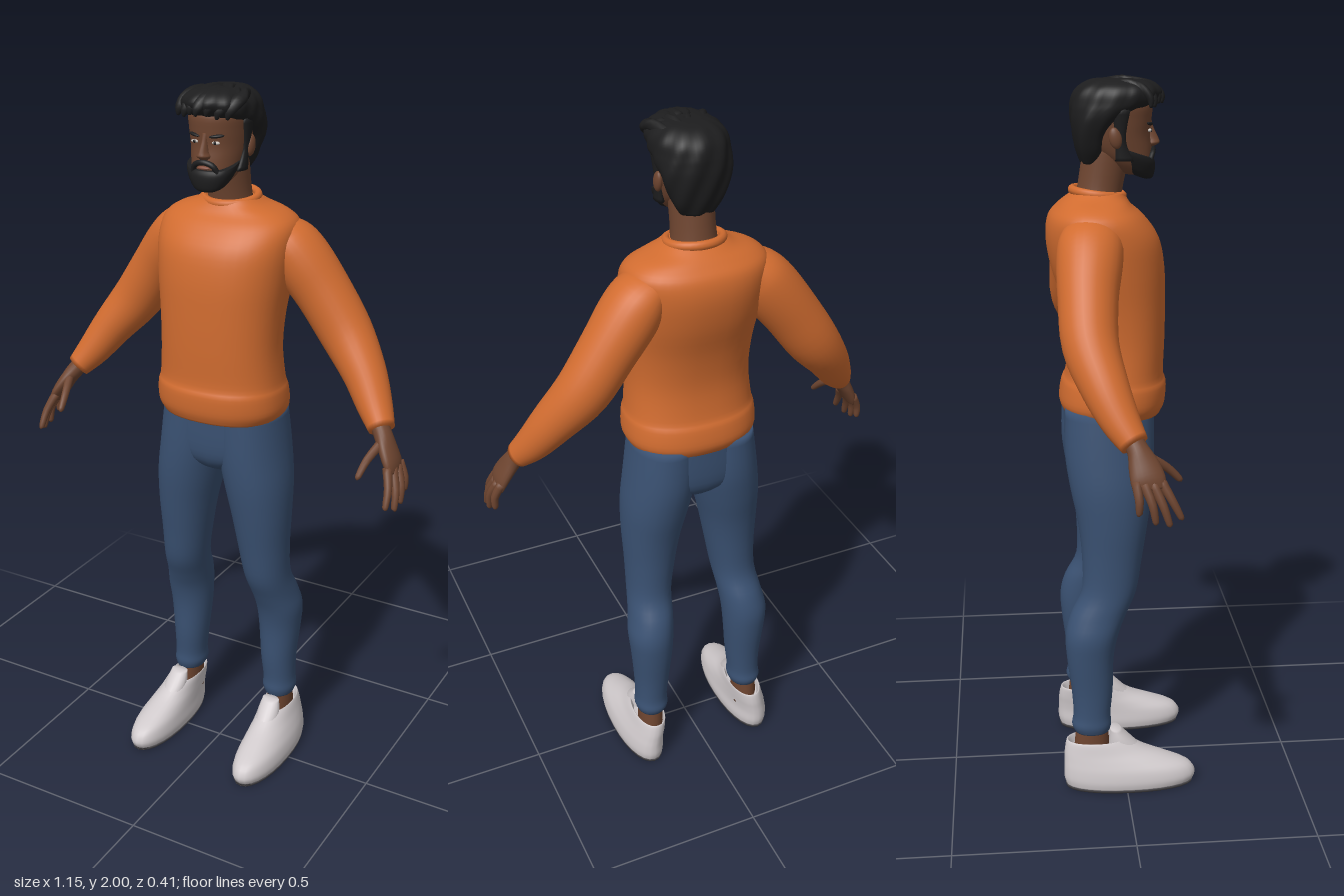
import * as THREE from 'three';

const mat = (name, color, side = THREE.FrontSide) => {
  const m = new THREE.MeshStandardMaterial({ color, side });
  m.name = name;
  return m;
};

// Smooth tube through cross-sections [x, y, z, rx, rz]; flat keeps the sections level.
function loft(sections, { flat = false, n = 2, seg = 28, sub = 4 } = {}) {
  const rows = [], last = sections.length - 1;
  for (let i = 0; i <= last * sub; i++) {
    const k = Math.min(Math.floor(i / sub), last - 1), t = i / sub - k;
    const at = (j) => sections[THREE.MathUtils.clamp(j, 0, last)];
    rows.push(at(k).map((b, c) => {
      const a = at(k - 1)[c], d = at(k + 1)[c], e = at(k + 2)[c];
      return b + 0.5 * t * (d - a + t * (2 * a - 5 * b + 4 * d - e + t * (3 * (b - d) + e - a)));
    }));
  }
  const pos = [], idx = [], Z = new THREE.Vector3(0, 0, 1);
  const centre = (r) => new THREE.Vector3(r[0], r[1], r[2]);
  const up = new THREE.Vector3(0, Math.sign(sections[last][1] - sections[0][1]), 0);
  const power = (v) => Math.sign(v) * Math.abs(v) ** (2 / n);
  rows.forEach((r, i) => {
    const t = flat ? up : centre(rows[Math.min(i + 1, rows.length - 1)])
      .sub(centre(rows[Math.max(i - 1, 0)])).normalize();
    const side = new THREE.Vector3().crossVectors(t, Z).normalize();
    const fwd = new THREE.Vector3().crossVectors(side, t);
    for (let j = 0; j < seg; j++) {
      const a = (j / seg) * Math.PI * 2;
      const p = centre(r).addScaledVector(side, r[3] * power(Math.cos(a)))
        .addScaledVector(fwd, r[4] * power(Math.sin(a)));
      pos.push(p.x, p.y, p.z);
      if (i < rows.length - 1) {
        const b = i * seg + j, c = i * seg + ((j + 1) % seg);
        idx.push(b, b + seg, c, b + seg, c + seg, c);
      }
    }
  });
  // end caps
  const top = (rows.length - 1) * seg, v = rows.length * seg;
  pos.push(...rows[0].slice(0, 3), ...rows[rows.length - 1].slice(0, 3));
  for (let j = 0; j < seg; j++) {
    const k = (j + 1) % seg;
    idx.push(v, j, k, v + 1, top + k, top + j);
  }
  const g = new THREE.BufferGeometry();
  g.setAttribute('position', new THREE.Float32BufferAttribute(pos, 3));
  g.setIndex(idx);
  g.computeVertexNormals();
  return g;
}

// Level sections written as [x, y, rx, zFront, zBack]
const body = (list, opts = {}) => loft(
  list.map(([x, y, rx, f, b]) => [x, y, (f + b) / 2, rx, (f - b) / 2]), { flat: true, ...opts });

function deform(g, fn) {
  const p = g.attributes.position, v = new THREE.Vector3();
  for (let i = 0; i < p.count; i++) {
    fn(v.fromBufferAttribute(p, i));
    p.setXYZ(i, v.x, v.y, v.z);
  }
  g.computeVertexNormals();
  return g;
}

export function createModel() {
  const root = new THREE.Group();
  root.name = 'standingMan';
  const orange = mat('sweaterOrange', 0xd16c30), denim = mat('denimBlue', 0x3a5172);
  const skin = mat('skinBrown', 0x6e4530), hairBlack = mat('hairBlack', 0x1d1d1e);
  const white = mat('shoeWhite', 0xd0cacc), sole = mat('soleGrey', 0x4a484b);
  const eyeWhite = mat('eyeWhite', 0xc9c2bb), lip = mat('lipBrown', 0x84503f);
  const add = (name, geo, m) => {
    const mesh = new THREE.Mesh(geo, m);
    mesh.name = name;
    root.add(mesh);
    return mesh;
  };
  const ball = (name, m, p, s) => {
    const b = add(name, new THREE.SphereGeometry(1, 20, 14), m);
    b.position.set(...p);
    b.scale.set(...s);
    return b;
  };

  // Sweater body with a rolled hem and a collar
  add('sweater', body([
    [0, 1.1, 0.172, 0.11, -0.16], [0, 1.13, 0.187, 0.122, -0.172], [0, 1.18, 0.185, 0.125, -0.165],
    [0, 1.21, 0.178, 0.117, -0.153], [0, 1.3, 0.171, 0.12, -0.145], [0, 1.4, 0.175, 0.121, -0.16],
    [0, 1.5, 0.187, 0.118, -0.19], [0, 1.58, 0.195, 0.102, -0.203], [0, 1.635, 0.192, 0.064, -0.196],
    [0, 1.665, 0.16, 0.03, -0.172], [0, 1.685, 0.105, 0.016, -0.15], [0, 1.7, 0.08, 0.008, -0.13],
  ], { n: 2.3, seg: 40 }), orange);
  const collar = add('collar', new THREE.TorusGeometry(0.072, 0.011, 10, 36), orange);
  collar.position.set(0, 1.697, -0.062);
  collar.rotation.x = Math.PI / 2 + 0.13;
  collar.scale.set(1.02, 0.96, 1.1);

  // Seat of the trousers
  add('trouserSeat', body([
    [0, 0.925, 0.04, 0.02, -0.09], [0, 0.95, 0.09, 0.06, -0.13],
    [0, 1.0, 0.17, 0.081, -0.157], [0, 1.12, 0.17, 0.085, -0.16],
  ], { n: 2.3 }), denim);

  for (const s of [1, -1]) {
    const tag = s > 0 ? 'left' : 'right';
    const mir = (list) => list.map(([x, ...rest]) => [s * x, ...rest]);

    // Sleeve
    add(tag + 'Sleeve', loft(mir([
      [0.125, 1.615, -0.09, 0.045, 0.07], [0.163, 1.583, -0.092, 0.07, 0.085],
      [0.2, 1.535, -0.098, 0.08, 0.086], [0.26, 1.455, -0.106, 0.077, 0.078],
      [0.33, 1.355, -0.105, 0.073, 0.073], [0.4, 1.265, -0.075, 0.06, 0.062],
      [0.45, 1.19, -0.04, 0.048, 0.05], [0.487, 1.14, -0.008, 0.035, 0.037],
    ])), orange);

    // Hand
    add(tag + 'Palm', loft(mir([
      [0.465, 1.165, -0.022, 0.024, 0.026], [0.493, 1.13, -0.002, 0.024, 0.028],
      [0.513, 1.1, 0.01, 0.021, 0.038], [0.533, 1.065, 0.02, 0.018, 0.044],
      [0.542, 1.04, 0.024, 0.012, 0.04],
    ]), { seg: 20 }), skin);
    const fingers = [
      ['Thumb', [0.5, 1.115, 0.02], [0.482, 1.08, 0.07], [0.474, 1.045, 0.105]],
      ['IndexFinger', [0.532, 1.06, 0.052], [0.548, 1.015, 0.078], [0.552, 0.972, 0.1]],
      ['MiddleFinger', [0.54, 1.055, 0.032], [0.56, 1.005, 0.055], [0.565, 0.96, 0.07]],
      ['RingFinger', [0.543, 1.055, 0.01], [0.564, 1.01, 0.028], [0.567, 0.967, 0.036]],
      ['LittleFinger', [0.54, 1.06, -0.01], [0.56, 1.02, -0.004], [0.562, 0.988, -0.004]],
    ];
    for (const [name, a, b, c] of fingers) {
      add(tag + name, loft(mir([[...a, 0.013, 0.013], [...b, 0.011, 0.011], [...c, 0.0085, 0.0085],
        [c[0], c[1] - 0.006, c[2] + 0.002, 0.004, 0.004]]), { seg: 10, sub: 3 }), skin);
    }

    // Trouser leg
    add(tag + 'TrouserLeg', body(mir([
      [0.158, 0.168, 0.042, -0.047, -0.146], [0.157, 0.19, 0.049, -0.041, -0.155],
      [0.156, 0.225, 0.047, -0.043, -0.15], [0.153, 0.3, 0.052, -0.036, -0.155],
      [0.153, 0.4, 0.061, -0.033, -0.167], [0.153, 0.47, 0.066, -0.02, -0.17],
      [0.145, 0.53, 0.064, 0.003, -0.155], [0.136, 0.6, 0.064, 0.033, -0.122],
      [0.128, 0.7, 0.072, 0.05, -0.12], [0.121, 0.8, 0.083, 0.066, -0.13],
      [0.109, 0.9, 0.094, 0.08, -0.15], [0.094, 1.0, 0.097, 0.086, -0.163],
      [0.085, 1.12, 0.09, 0.085, -0.16],
    ]), { n: 2.1 }), denim);

    // Ankle, shoe with a hollow opening, tongue and sole
    add(tag + 'Ankle', body(mir([
      [0.16, 0.08, 0.036, -0.045, -0.15], [0.16, 0.13, 0.036, -0.048, -0.148], [0.158, 0.2, 0.036, -0.05, -0.14],
    ]), { seg: 20 }), skin);
    add(tag + 'Shoe', body(mir([
      [0.179, 0.008, 0.064, 0.195, -0.174], [0.179, 0.03, 0.067, 0.204, -0.18],
      [0.178, 0.06, 0.063, 0.185, -0.18], [0.174, 0.085, 0.057, 0.125, -0.179],
      [0.169, 0.11, 0.051, 0.06, -0.178], [0.164, 0.138, 0.046, 0.012, -0.173],
      [0.163, 0.141, 0.042, 0.0, -0.167], [0.162, 0.115, 0.038, -0.02, -0.155],
    ]), { n: 2.15 }), white);
    add(tag + 'ShoeTongue', body(mir([
      [0.167, 0.1, 0.035, 0.06, -0.05], [0.164, 0.14, 0.033, 0.018, -0.048], [0.162, 0.172, 0.026, -0.015, -0.045],
    ]), { seg: 18 }), white);
    add(tag + 'Sole', body(mir([[0.179, 0, 0.063, 0.195, -0.174], [0.179, 0.009, 0.065, 0.198, -0.176]]),
      { n: 2.15, sub: 1 }), sole);

    // Ear, eye, brow and sideburn
    ball(tag + 'Ear', skin, [s * 0.08, 1.845, -0.02], [0.011, 0.028, 0.017]).rotation.x = -0.2;
    ball(tag + 'Eye', eyeWhite, [s * 0.03, 1.861, 0.074], [0.012, 0.0045, 0.006]);
    ball(tag + 'Iris', hairBlack, [s * 0.03, 1.861, 0.0785], [0.0045, 0.0045, 0.003]);
    const brow = ball(tag + 'Brow', hairBlack, [s * 0.033, 1.878, 0.075], [0.02, 0.0045, 0.007]);
    brow.rotation.set(0, s * 0.35, s * 0.12);
    add(tag + 'Sideburn', body(mir([
      [0.068, 1.785, 0.012, 0.03, -0.02], [0.073, 1.84, 0.009, 0.008, -0.02], [0.08, 1.92, 0.012, 0.02, -0.03],
    ]), { seg: 14 }), hairBlack);
  }

  // Neck and head
  add('neck', body([
    [0, 1.66, 0.066, -0.002, -0.128], [0, 1.72, 0.058, 0.008, -0.115], [0, 1.82, 0.058, 0.03, -0.1],
  ]), skin);
  add('head', body([
    [0, 1.745, 0.025, 0.07, 0.015], [0, 1.758, 0.045, 0.08, -0.02], [0, 1.785, 0.062, 0.084, -0.055],
    [0, 1.815, 0.07, 0.083, -0.09], [0, 1.85, 0.076, 0.079, -0.105], [0, 1.89, 0.08, 0.083, -0.11],
    [0, 1.93, 0.082, 0.083, -0.11], [0, 1.965, 0.065, 0.055, -0.085], [0, 1.98, 0.03, 0.015, -0.05],
  ], { n: 2.15 }), skin);
  add('nose', body([
    [0, 1.816, 0.01, 0.085, 0.06], [0, 1.826, 0.018, 0.104, 0.06], [0, 1.838, 0.012, 0.102, 0.06],
    [0, 1.865, 0.008, 0.089, 0.06], [0, 1.885, 0.01, 0.083, 0.06],
  ], { seg: 16 }), skin);

  // Beard rising towards the ears, moustache and mouth
  add('beard', deform(body([
    [0, 1.728, 0.022, 0.07, 0.025], [0, 1.737, 0.044, 0.086, 0.0], [0, 1.757, 0.059, 0.092, -0.015],
    [0, 1.777, 0.069, 0.092, -0.022], [0, 1.79, 0.071, 0.087, -0.02],
  ], { n: 2.2 }), (v) => { v.y += 0.35 * Math.max(0, 0.08 - v.z); }), hairBlack);
  const arc = new THREE.CatmullRomCurve3([[-0.036, 1.785, 0.076], [-0.026, 1.803, 0.083], [0, 1.811, 0.087],
    [0.026, 1.803, 0.083], [0.036, 1.785, 0.076]].map((p) => new THREE.Vector3(...p)));
  add('moustache', new THREE.TubeGeometry(arc, 20, 0.0075, 8), hairBlack);
  ball('mouth', lip, [0, 1.796, 0.084], [0.018, 0.005, 0.007]);

  // Hair mass with combed ripples
  add('hair', deform(body([
    [0, 1.775, 0.045, -0.05, -0.105], [0, 1.81, 0.068, -0.04, -0.118], [0, 1.85, 0.083, -0.03, -0.127],
    [0, 1.885, 0.093, 0.0, -0.132], [0, 1.91, 0.097, 0.045, -0.133], [0, 1.93, 0.098, 0.088, -0.132],
    [0, 1.955, 0.096, 0.107, -0.125], [0, 1.975, 0.083, 0.098, -0.108], [0.003, 1.99, 0.055, 0.07, -0.08],
    [0.005, 1.994, 0.02, 0.03, -0.04],
  ], { n: 2.2, seg: 56 }), (v) => {
    const a = Math.atan2(v.z, v.x), r = 1 + 0.022 * Math.sin(13 * a + 40 * v.y);
    v.x *= r;
    v.z = -0.01 + (v.z + 0.01) * r;
  }), hairBlack);
  // Locks swept from the crown over the forehead
  for (let i = 0; i < 7; i++) {
    const x = (i - 3) * 0.024, k = Math.abs(i - 3), drop = 0.004 * k + (i % 2) * 0.004;
    add('hairLock' + (i + 1), loft([
      [x * 0.6 + 0.01, 1.982 - drop, -0.06, 0.012, 0.01], [x * 0.9 + 0.012, 1.986 - drop, 0.01, 0.019, 0.013],
      [x + 0.006, 1.977 - drop, 0.075 - k * 0.008, 0.019, 0.014],
      [x - 0.004, 1.955 - drop, 0.107 - k * 0.012, 0.014, 0.01],
      [x - 0.01, 1.934 - drop, 0.108 - k * 0.012, 0.004, 0.004],
    ], { seg: 12 }), hairBlack);
  }
  return root;
}
